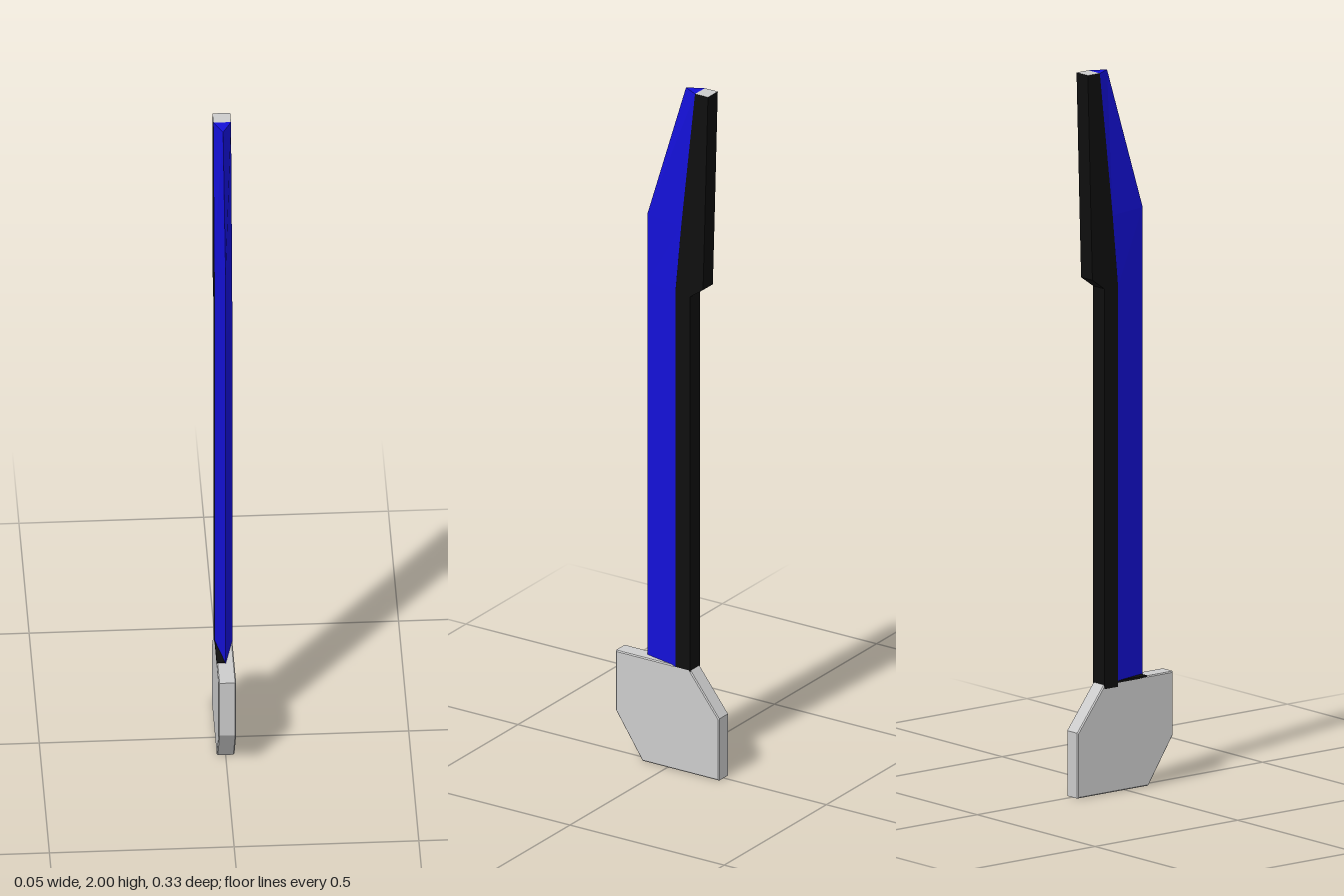
import * as THREE from 'three';

const HALF = 0.024; // half thickness of the whole piece

// Skin a stack of rings [y, [[x, z], ...]]; rings run anticlockwise seen from above.
function loft(rings, capTop = true) {
  const pos = [];
  const tri = (...pts) => pts.forEach((p) => pos.push(...p));
  const at = (i, j) => {
    const [y, pts] = rings[i];
    const [x, z] = pts[j % pts.length];
    return [x, y, z];
  };
  const n = rings[0][1].length;
  const last = rings.length - 1;
  for (let i = 0; i < last; i++) {
    for (let j = 0; j < n; j++) {
      tri(at(i, j), at(i, j + 1), at(i + 1, j + 1));
      tri(at(i, j), at(i + 1, j + 1), at(i + 1, j));
    }
  }
  for (let j = 1; j < n - 1; j++) {
    tri(at(0, 0), at(0, j + 1), at(0, j));
    if (capTop) tri(at(last, 0), at(last, j), at(last, j + 1));
  }
  const g = new THREE.BufferGeometry();
  g.setAttribute('position', new THREE.Float32BufferAttribute(pos, 3));
  g.computeVertexNormals();
  return g;
}

const wedge = (y, back, front) => [y, [[HALF, back], [-HALF, back], [0, front]]];
const slab = (y, back, front) => [y, [[HALF, front], [HALF, back], [-HALF, back], [-HALF, front]]];

export function createModel() {
  const group = new THREE.Group();
  const grey = new THREE.MeshStandardMaterial({ color: 0xcccccc });
  const blue = new THREE.MeshStandardMaterial({ color: 0x1410d8 });
  const black = new THREE.MeshStandardMaterial({ color: 0x0e0e0e });
  const add = (name, geometry, material) => {
    const mesh = new THREE.Mesh(geometry, material);
    mesh.name = name;
    group.add(mesh);
    return mesh;
  };

  // Grip: six-sided plate with a fine bevel, extruded across x
  const b = 0.003;
  const outline = [[0.165, 0.302], [-0.07, 0.302], [-0.164, 0.18], [-0.164, b], [0.08, b], [0.165, 0.13]];
  const shape = new THREE.Shape(outline.map(([z, y]) => new THREE.Vector2(-z, y)));
  const grip = new THREE.ExtrudeGeometry(shape, {
    depth: 2 * (HALF - b), bevelThickness: b, bevelSize: b, bevelSegments: 1,
  });
  grip.translate(0, 0, -(HALF - b));
  grip.rotateY(Math.PI / 2);
  add('grip', grip, grey);

  // Cutting edge: wedge section sweeping back to the tip
  add('bladeEdge', loft([
    wedge(0.29, -0.026, 0.08),
    wedge(1.4, -0.026, 0.08),
    wedge(1.6, -0.045, 0.08),
    wedge(2, -0.09, -0.045),
  ]), blue);

  // Spine: flat back that steps out near the tip
  add('bladeSpine', loft([
    slab(0.29, -0.074, -0.026),
    slab(1.4, -0.074, -0.026),
    slab(1.43, -0.116, -0.029),
    slab(1.6, -0.121, -0.045),
    slab(2, -0.132, -0.09),
  ], false), black);

  // Pale end face of the spine
  const cap = new THREE.PlaneGeometry(2 * HALF, 0.042);
  cap.rotateX(-Math.PI / 2);
  add('spineCap', cap, grey).position.set(0, 2, -0.111);

  // Dark seat beside the blade on top of the grip
  add('bladeSeat', new THREE.BoxGeometry(HALF, 0.006, 0.145), black).position.set(-HALF / 2, 0.304, 0.0025);

  return group;
}
